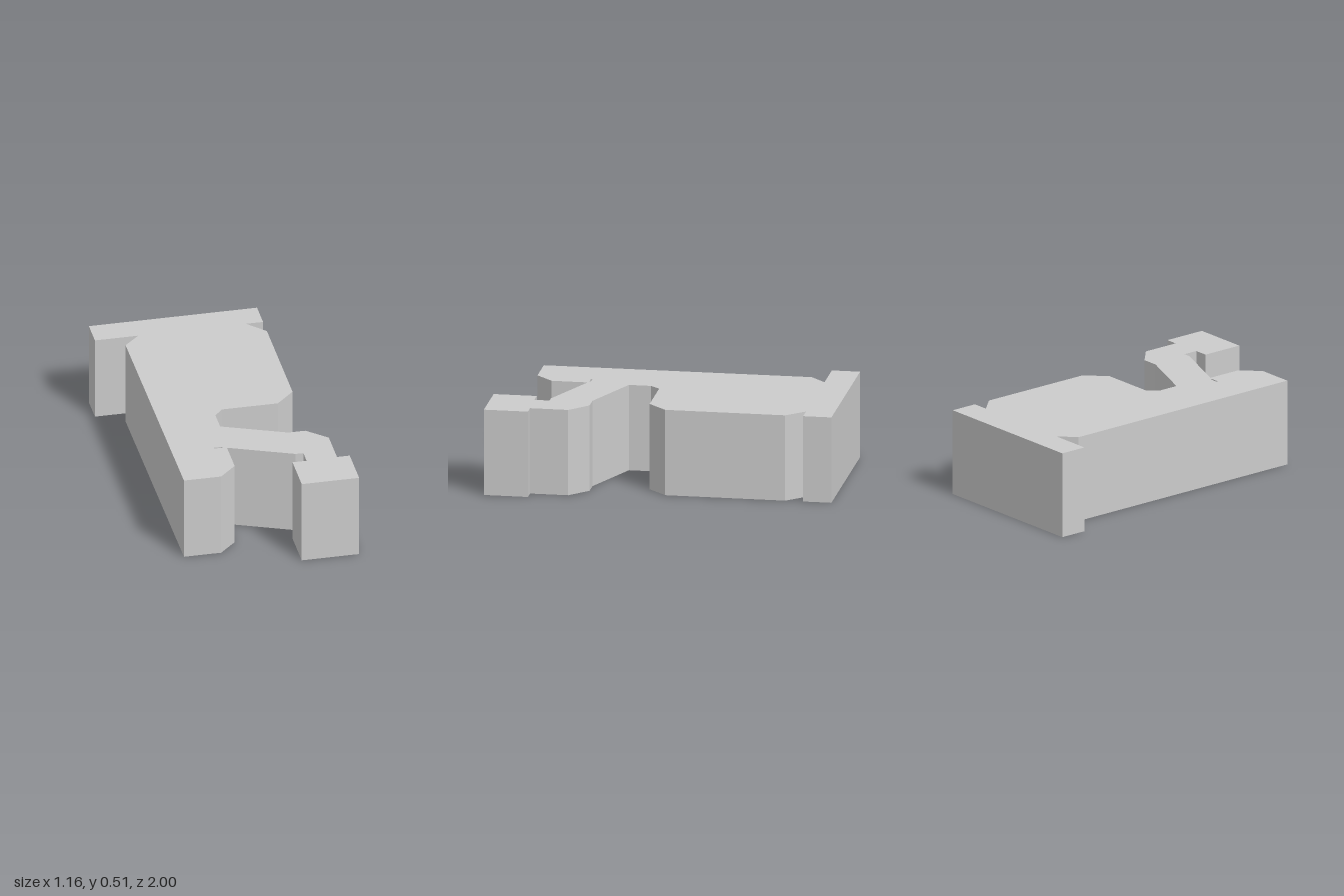
import * as THREE from 'three';

const HEIGHT = 0.51, WALL = 0.05, CAP = 0.05;

// Plan outline as (x, z), clockwise when seen from above
const OUTLINE = [
  // back bar and right side of the body
  [-0.58, -1], [0.41, -1], [0.41, -0.835], [0.31, -0.835], [0.41, -0.73],
  [0.41, -0.03], [0.3, 0.08], [-0.03, 0.08], [-0.08, 0.137], [-0.08, 0.265],
  // slanted arm and its foot
  [0.29, 0.415], [0.39, 0.415], [0.505, 0.52], [0.505, 0.743], [0.58, 0.743],
  [0.58, 1], [0.242, 1], [0.242, 0.748], [0.325, 0.748], [0.325, 0.66],
  [0.28, 0.66], [-0.092, 0.508],
  // straight leg and far side of the body
  [-0.092, 0.718], [-0.193, 0.818], [-0.412, 0.818],
  [-0.419, -0.745], [-0.325, -0.835], [-0.58, -0.835],
].map(([x, z]) => new THREE.Vector2(x, -z));

// Moves the outline inward, with mitred corners
function inset(points, d) {
  const n = points.length;
  const right = (v) => new THREE.Vector2(v.y, -v.x);
  return points.map((p, i) => {
    const a = p.clone().sub(points[(i + n - 1) % n]).normalize();
    const b = points[(i + 1) % n].clone().sub(p).normalize();
    return p.clone().addScaledVector(right(a).add(right(b)), d / (1 + a.dot(b)));
  });
}

// Upright prism of the plan; the hole runs against the outline so its sides face inward
function prism(name, hole, y, height, material) {
  const shape = new THREE.Shape(OUTLINE);
  shape.holes.push(new THREE.Path([...hole].reverse()));
  const geometry = new THREE.ExtrudeGeometry(shape, { depth: height, bevelEnabled: false });
  geometry.rotateX(-Math.PI / 2);
  geometry.translate(0, y, 0);
  const mesh = new THREE.Mesh(geometry, material);
  mesh.name = name;
  return mesh;
}

export function createModel() {
  const group = new THREE.Group();
  group.name = 'hollowShell';
  const material = new THREE.MeshStandardMaterial({ color: 0xcccccc });

  // Thin walls, open at the bottom
  group.add(prism('walls', inset(OUTLINE, WALL), 0, HEIGHT - CAP, material));

  // Top plate with a small slit beside the arm
  const slit = [[-0.165, 0.492], [-0.12, 0.492], [-0.112, 0.502], [-0.165, 0.502]]
    .map(([x, z]) => new THREE.Vector2(x, -z));
  group.add(prism('topPlate', slit, HEIGHT - CAP, CAP, material));
  return group;
}
